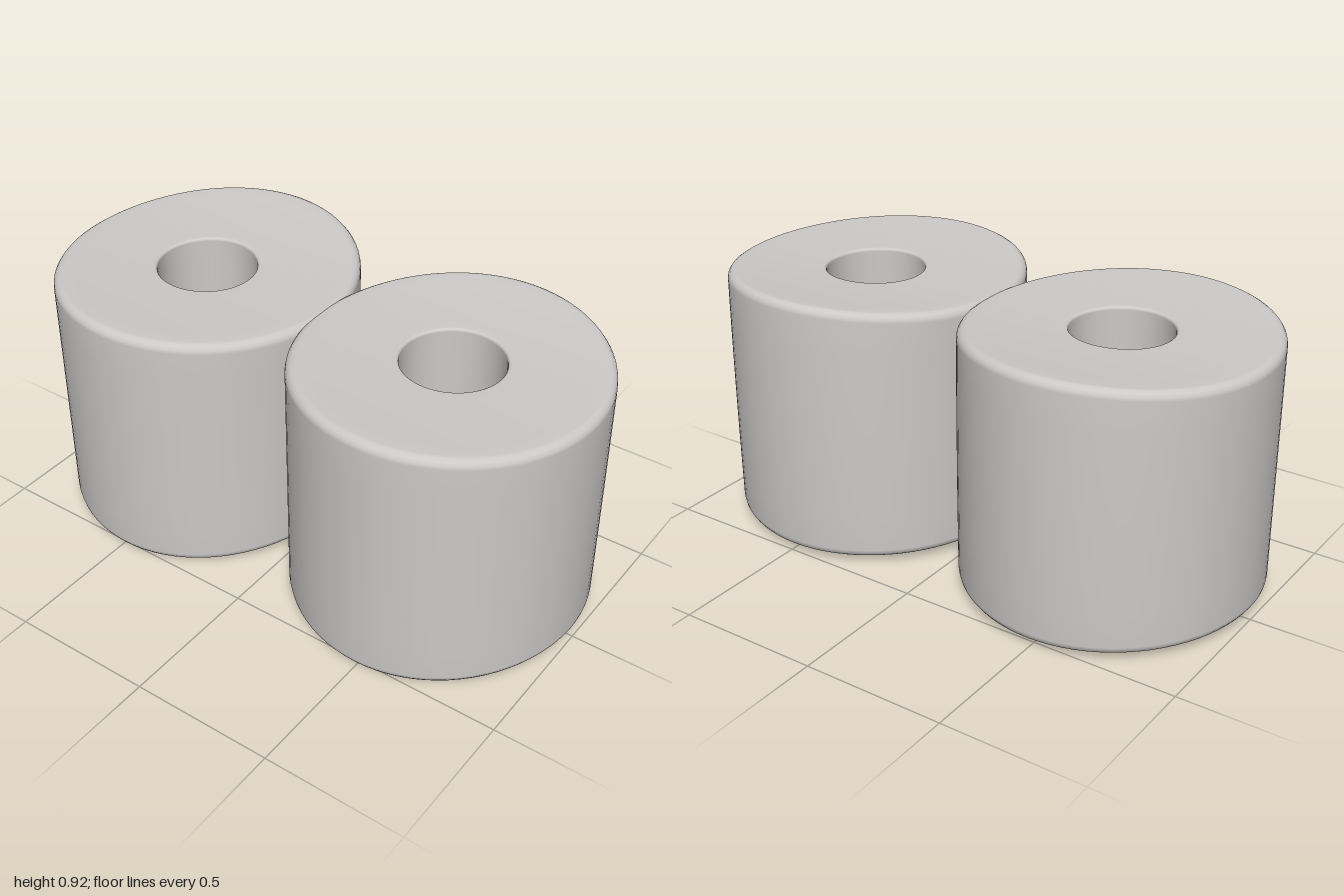
import * as THREE from 'three';
import { mergeVertices } from 'three/addons/utils/BufferGeometryUtils.js';

const H = 0.862, BASE = 0.035, R = 0.51, HOLE = 0.17;

// Closed ring profile: bottom face, rounded outer edge, wall, top face, bore
function ringProfile() {
  const pts = [];
  const corner = (cx, cy, r, start) => {
    for (let i = 0; i <= 4; i++) {
      const a = start + (i / 4) * Math.PI / 2;
      pts.push(new THREE.Vector2(cx + r * Math.cos(a), cy + r * Math.sin(a)));
    }
  };
  const faceRadii = [0.21, 0.27, 0.33, 0.39, 0.44];
  const b = 0.03, c = 0.01;
  corner(HOLE + c, c, c, Math.PI);
  faceRadii.forEach((r) => pts.push(new THREE.Vector2(r, 0)));
  corner(R - b, b, b, -Math.PI / 2);
  for (let i = 1; i < 8; i++) pts.push(new THREE.Vector2(R, b + (i / 8) * (H - 2 * b)));
  corner(R - b, H - b, b, 0);
  [...faceRadii].reverse().forEach((r) => pts.push(new THREE.Vector2(r, H)));
  corner(HOLE + c, H - c, c, Math.PI / 2);
  pts.push(pts[0].clone());
  return pts;
}

// Soft roll: slightly oval, with end faces that swell toward front and back
function rollGeometry(depth, offsetZ) {
  let g = new THREE.LatheGeometry(ringProfile(), 80);
  g.deleteAttribute('uv');
  g.deleteAttribute('normal');
  g = mergeVertices(g, 1e-5);
  const p = g.attributes.position;
  for (let i = 0; i < p.count; i++) {
    const x = p.getX(i), y = p.getY(i), z = p.getZ(i);
    const t = y / H;
    const out = THREE.MathUtils.clamp((Math.hypot(x, z) - HOLE) / (R - HOLE), 0, 1);
    const top = (z < 0 ? 0.13 : 0.07) * z * z;
    const bottom = (z < 0 ? -0.05 : -0.13) * z * z;
    const lean = z > 0 ? 0.02 * (t - 0.8) : 0.01 * (1 - 4 * (t - 0.5) ** 2) - 0.01;
    p.setXYZ(
      i,
      x,
      BASE + y + THREE.MathUtils.lerp(bottom, top, t),
      z * (1 + (depth / R - 1 + lean) * out) + offsetZ * out
    );
  }
  g.computeVertexNormals();
  return g;
}

export function createModel() {
  const group = new THREE.Group();
  group.name = 'pairOfRolls';
  const paper = new THREE.MeshStandardMaterial({ color: 0xcccac8 });
  paper.name = 'pale grey';

  // Two rolls side by side, just overlapping in the middle
  [
    { name: 'leftRoll', x: 0.49, depth: 0.522, z: 0.012 },
    { name: 'rightRoll', x: -0.49, depth: 0.533, z: -0.006 },
  ].forEach(({ name, x, depth, z }) => {
    const roll = new THREE.Mesh(rollGeometry(depth, z), paper);
    roll.name = name;
    roll.position.x = x;
    group.add(roll);
  });
  return group;
}
